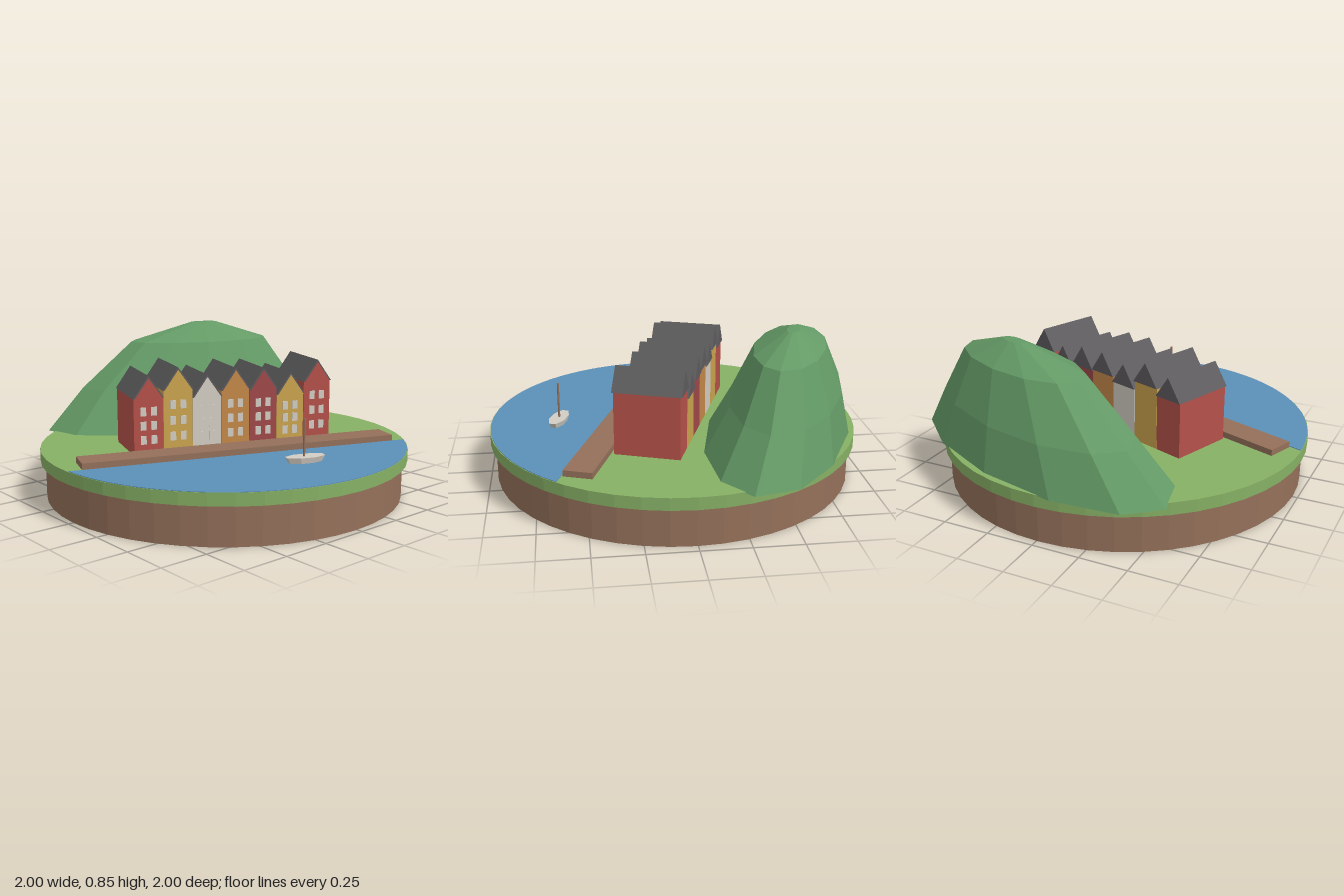
import * as THREE from 'three';

const mat = (name, color) => Object.assign(new THREE.MeshStandardMaterial({ color }), { name });

export function createModel() {
  const model = new THREE.Group();
  model.name = 'harbourIsland';
  const brown = mat('brown', 0x94705a), grass = mat('grass', 0x86b065), hillGreen = mat('hillGreen', 0x649a66);
  const water = mat('water', 0x5b8fb8), slate = mat('slate', 0x5e5c5e), red = mat('red', 0xb5514a);
  const darkRed = mat('darkRed', 0xa04848), yellow = mat('yellow', 0xcba44e);
  const white = mat('offWhite', 0xd2cdc4), orange = mat('orange', 0xc48848);

  const add = (parent, name, geo, material, x = 0, y = 0, z = 0) => {
    const mesh = new THREE.Mesh(geo, material);
    mesh.name = name;
    mesh.position.set(x, y, z);
    parent.add(mesh);
    return mesh;
  };
  const flat = (geo) => {
    const g = geo.index ? geo.toNonIndexed() : geo;
    g.computeVertexNormals();
    return g;
  };

  // Round island base with a grassy slab on top
  add(model, 'earthBase', flat(new THREE.CylinderGeometry(0.963, 0.963, 0.2, 48)), brown, -0.01, 0.1, 0.005);
  add(model, 'grassDisc', flat(new THREE.CylinderGeometry(0.99, 0.99, 0.064, 48)), grass, -0.01, 0.232, 0.005);

  // Town: everything here shares the angle of the quay
  const town = new THREE.Group();
  town.name = 'town';
  town.position.set(-0.01, 0.264, 0.005);
  town.rotation.y = -THREE.MathUtils.degToRad(20);
  model.add(town);

  // Water: a circle segment cut off by a straight shore
  const R = 0.985, shore = 0.343, a0 = Math.asin(shore / R);
  const sea = new THREE.Shape();
  sea.absarc(0, 0, R, -Math.PI + a0, -a0, false);
  sea.closePath();
  const seaGeo = new THREE.ExtrudeGeometry(sea, { depth: 0.003, bevelEnabled: false, curveSegments: 36 });
  seaGeo.rotateX(-Math.PI / 2);
  add(town, 'water', seaGeo, water);

  add(town, 'quay', new THREE.BoxGeometry(1.713, 0.037, 0.148), brown, 0, 0.0135, 0.261);

  // Row of gabled houses
  const triangle = (halfWidth, height, depth) => {
    const s = new THREE.Shape();
    s.moveTo(-halfWidth, 0);
    s.lineTo(halfWidth, 0);
    s.lineTo(0, height);
    s.closePath();
    return new THREE.ExtrudeGeometry(s, { depth, bevelEnabled: false });
  };
  const roofGeo = triangle(0.082, 0.117, 0.356);
  const gableGeo = triangle(0.073, 0.104, 0.003);
  const windowGeo = new THREE.BoxGeometry(0.03, 0.045, 0.008);
  const houses = [
    [red, 0.296], [yellow, 0.331], [white, 0.284], [orange, 0.31],
    [darkRed, 0.302], [yellow, 0.268], [red, 0.328],
  ];
  houses.forEach(([paint, h], i) => {
    const house = new THREE.Group();
    house.name = 'house' + (i + 1);
    house.position.x = (i - 3) * 0.158;
    town.add(house);
    add(house, 'walls', new THREE.BoxGeometry(0.156, h, 0.34), paint, 0, h / 2, 0);
    add(house, 'roof', roofGeo, slate, 0, h, -0.178);
    add(house, 'gable', gableGeo, paint, 0, h, 0.1775);
    for (const x of [-0.028, 0.028])
      for (const f of [0.27, 0.52, 0.77]) add(house, 'window', windowGeo, white, x, h * f, 0.17);
  });

  // Boat: a flared eight-sided hull with a mast
  const boat = new THREE.Group();
  boat.name = 'boat';
  boat.position.set(-0.01, 0.264, 0.625);
  boat.rotation.y = town.rotation.y;
  model.add(boat);
  const hull = new THREE.CylinderGeometry(1, 0.8, 0.034, 8).rotateY(Math.PI / 8).scale(0.112, 1, 0.046);
  add(boat, 'hull', flat(hull), white, 0, 0.016, 0);
  add(boat, 'mast', new THREE.CylinderGeometry(0.006, 0.006, 0.2, 8), brown, -0.006, 0.125, 0);

  // Hill: twelve-sided rings shrinking towards a blunt summit
  const outline = [
    [-0.45, -0.975], [-0.615, -0.84], [-0.57, -0.62], [-0.32, -0.39], [0.06, -0.19], [0.485, -0.095],
    [0.83, -0.12], [1, -0.25], [0.95, -0.475], [0.71, -0.7], [0.32, -0.9], [-0.1, -1],
  ];
  // each ring: height, scale, centre x, centre z
  const rings = [[0.26, 1, 0.19, -0.55], [0.49, 0.77, 0.22, -0.58], [0.745, 0.49, 0.28, -0.572], [0.845, 0.09, 0.32, -0.575]];
  const n = outline.length, pos = [], idx = [];
  for (const [y, s, cx, cz] of rings)
    for (const [x, z] of outline) pos.push(cx + (x - 0.19) * s, y, cz + (z + 0.55) * s);
  const bottom = pos.length / 3, top = bottom + 1, last = (rings.length - 1) * n;
  pos.push(0.19, 0.26, -0.55, 0.32, 0.847, -0.575);
  for (let i = 0; i < n; i++) {
    const j = (i + 1) % n;
    for (let r = 0; r < last; r += n) idx.push(r + i, r + j, r + n + j, r + i, r + n + j, r + n + i);
    idx.push(last + i, last + j, top, j, i, bottom);
  }
  const hillGeo = new THREE.BufferGeometry();
  hillGeo.setAttribute('position', new THREE.Float32BufferAttribute(pos, 3));
  hillGeo.setIndex(idx);
  add(model, 'hill', flat(hillGeo), hillGreen);

  return model;
}
